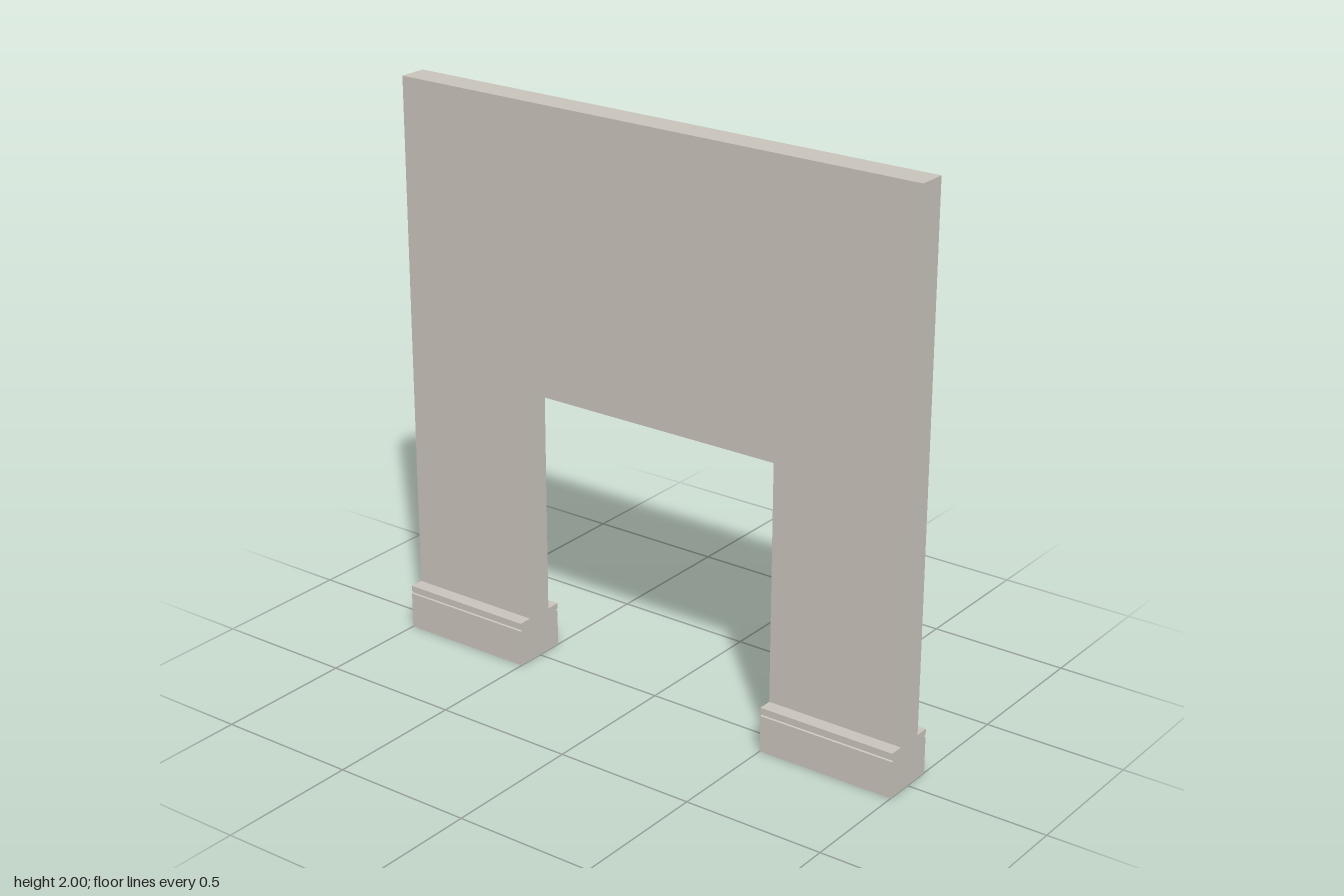
import * as THREE from 'three';

export function createModel() {
  const group = new THREE.Group();
  const plaster = new THREE.MeshStandardMaterial({ color: 0xc8c4bb });
  plaster.name = 'warm grey plaster';

  const outline = (points) => new THREE.Shape(points.map(([x, y]) => new THREE.Vector2(x, y)));

  // Wall panel with a doorway open to the floor
  const wallShape = outline([
    [-1, 0], [-0.5, 0], [-0.5, 1], [0.5, 1], [0.5, 0], [1, 0], [1, 2], [-1, 2],
  ]);
  const wallGeometry = new THREE.ExtrudeGeometry(wallShape, { depth: 0.1, bevelEnabled: false });
  wallGeometry.translate(0, 0, -0.05);
  const wall = new THREE.Mesh(wallGeometry, plaster);
  wall.name = 'doorwayWall';
  group.add(wall);

  // Skirting profile (z, y), with a fine groove below the top lip
  const skirtingShape = outline([
    [0.05, 0], [0.1, 0], [0.1, 0.13], [0.094, 0.132], [0.094, 0.138], [0.1, 0.14], [0.1, 0.16], [0.05, 0.16],
  ]);
  const skirtingGeometry = new THREE.ExtrudeGeometry(skirtingShape, { depth: 0.5, bevelEnabled: false });
  skirtingGeometry.translate(0, 0, -0.25);
  skirtingGeometry.rotateY(-Math.PI / 2);

  // One skirting on each face of each wall leg
  for (const [side, x] of [['left', 0.75], ['right', -0.75]]) {
    for (const [face, turn] of [['Front', 0], ['Back', Math.PI]]) {
      const skirting = new THREE.Mesh(skirtingGeometry, plaster);
      skirting.name = `${side}${face}Skirting`;
      skirting.position.x = x;
      skirting.rotation.y = turn;
      group.add(skirting);
    }
  }

  return group;
}
